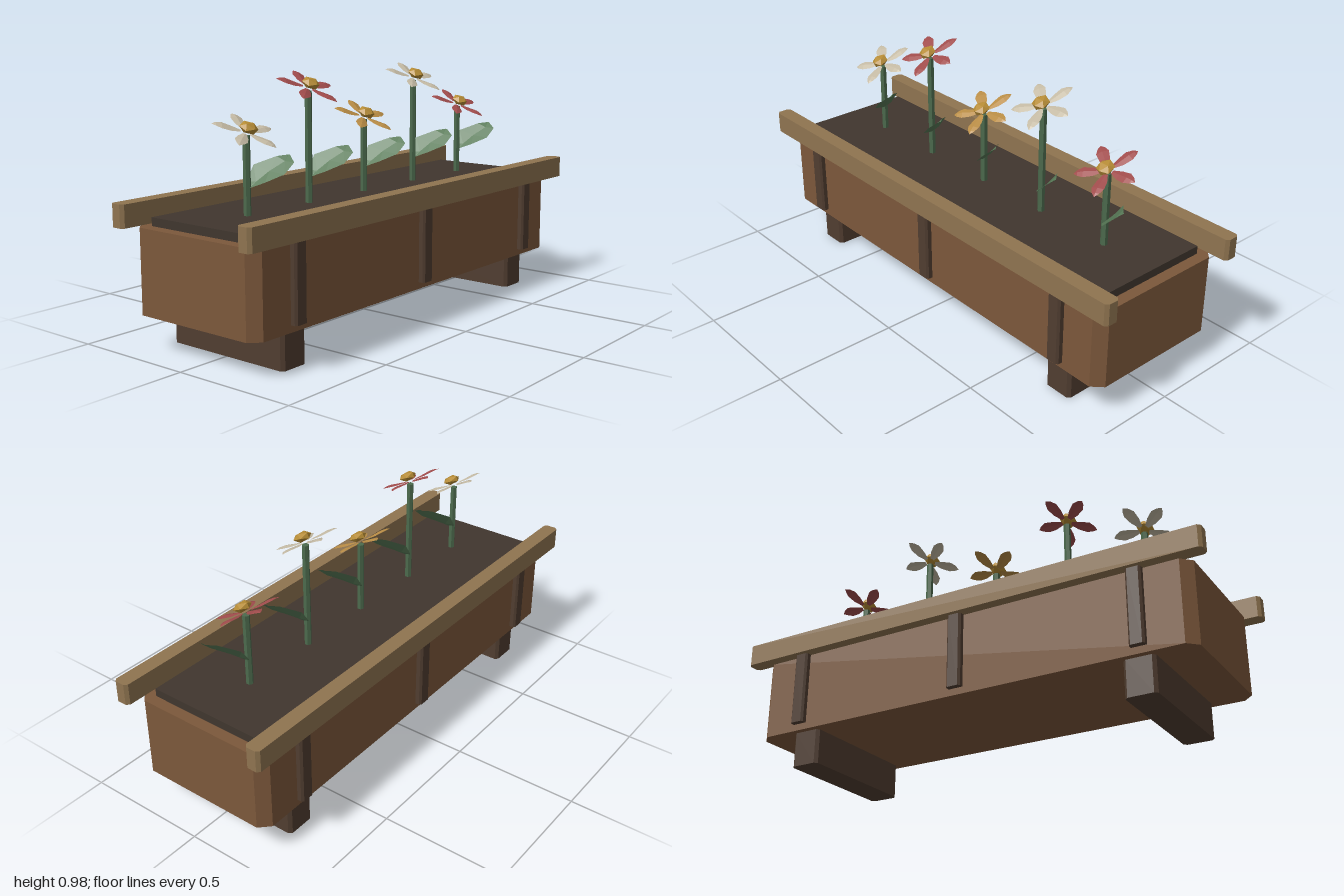
import * as THREE from 'three';

const mat = (color) => new THREE.MeshStandardMaterial({ color, flatShading: true, side: THREE.DoubleSide });
const WOOD = mat(0x7c583b), DARK = mat(0x503d30), RAIL = mat(0x8f7450), SOIL = mat(0x40362e);
const STEM = mat(0x4c6a4d), LEAF = mat(0x587a57), CORE = mat(0xb58b35);
const WHITE = mat(0xc4baa4), RED = mat(0xa04c4c), GOLD = mat(0xb88c45);

function add(parent, name, geometry, material, x = 0, y = 0, z = 0) {
  const mesh = new THREE.Mesh(geometry, material);
  mesh.name = name;
  mesh.position.set(x, y, z);
  parent.add(mesh);
  return mesh;
}

// Upright block with its four vertical edges bevelled by c, standing on y = 0
function block(w, h, d, c) {
  const x = w / 2, z = d / 2;
  const shape = new THREE.Shape([
    [x - c, -z], [x, c - z], [x, z - c], [x - c, z],
    [c - x, z], [-x, z - c], [-x, c - z], [c - x, -z],
  ].map(([a, b]) => new THREE.Vector2(a, b)));
  return new THREE.ExtrudeGeometry(shape, { depth: h, bevelEnabled: false }).rotateX(-Math.PI / 2);
}

// Thin blade from rows of [one edge, midrib, other edge]
function blade(rows) {
  const index = [];
  for (let r = 0; r < rows.length - 1; r++) {
    for (let k = 0; k < 2; k++) {
      const a = r * 3 + k, b = a + 3;
      index.push(a, a + 1, b, a + 1, b + 1, b);
    }
  }
  const g = new THREE.BufferGeometry();
  g.setAttribute('position', new THREE.Float32BufferAttribute(rows.flat(2), 3));
  g.setIndex(index);
  g.computeVertexNormals();
  return g;
}

// Petal rows: distance from the centre, half width, height
const petalGeometry = blade([
  [0.02, 0.008, 0], [0.055, 0.02, 0.003], [0.09, 0.024, 0.007], [0.112, 0.014, 0.005], [0.126, 0.001, 0],
].map(([r, w, y]) => [[r, y - w * 0.2, -w], [r, y, 0], [r, y - w * 0.2, w]]));

// Broad leaf rising from the stem towards +x and the front
const leafGeometry = blade([
  [[0, 0.59, -0.003], [0.002, 0.59, 0], [0.004, 0.59, 0.004]],
  [[0.02, 0.612, -0.022], [0.03, 0.612, 0.015], [0.034, 0.612, 0.055]],
  [[0.06, 0.667, -0.025], [0.073, 0.648, 0.04], [0.08, 0.641, 0.107]],
  [[0.115, 0.697, 0.037], [0.118, 0.682, 0.075], [0.122, 0.68, 0.116]],
  [[0.143, 0.702, 0.066], [0.143, 0.703, 0.07], [0.142, 0.702, 0.078]],
]);

function flower(x, top, petalMaterial) {
  const plant = new THREE.Group();
  plant.name = 'flower';
  plant.position.x = x;
  const bottom = 0.47;
  add(plant, 'stem', new THREE.CylinderGeometry(0.014, 0.014, top - bottom, 6), STEM, 0, (top + bottom) / 2, 0);
  add(plant, 'leaf', leafGeometry, LEAF);

  // Blossom leaning to the front
  const head = new THREE.Group();
  head.name = 'blossom';
  head.position.y = top + 0.014;
  head.rotation.x = 0.46;
  for (let i = 0; i < 5; i++) {
    add(head, 'petal', petalGeometry, petalMaterial).rotation.y = i * Math.PI * 0.4;
  }
  const core = add(head, 'flowerCentre', new THREE.IcosahedronGeometry(0.036, 0), CORE, 0, 0.019, 0.006);
  core.scale.y = 0.55;
  plant.add(head);
  return plant;
}

export function createModel() {
  const model = new THREE.Group();
  model.name = 'flowerPlanter';

  // Trough and soil
  add(model, 'trough', block(1.88, 0.32, 0.596, 0.04), WOOD, 0, 0.14, 0);
  add(model, 'soil', new THREE.BoxGeometry(1.79, 0.092, 0.49), SOIL, 0, 0.446, 0);

  // Feet across each end
  for (const s of [-1, 1]) add(model, 'foot', block(0.122, 0.14, 0.546, 0.012), DARK, s * 0.72, 0, 0);

  // Long rails and the upright battens beneath them, front and back
  for (const s of [-1, 1]) {
    add(model, 'rail', block(2, 0.086, 0.062, 0.012), RAIL, 0, 0.461, s * 0.31);
    for (const x of [-0.735, 0, 0.735]) {
      add(model, 'batten', block(0.06, 0.294, 0.05, 0.008), DARK, x, 0.167, s * 0.298);
    }
  }

  // Row of flowers
  [WHITE, RED, GOLD, WHITE, RED].forEach((m, i) => {
    model.add(flower((i - 2) * 0.331, i % 2 ? 0.916 : 0.78, m));
  });
  return model;
}
